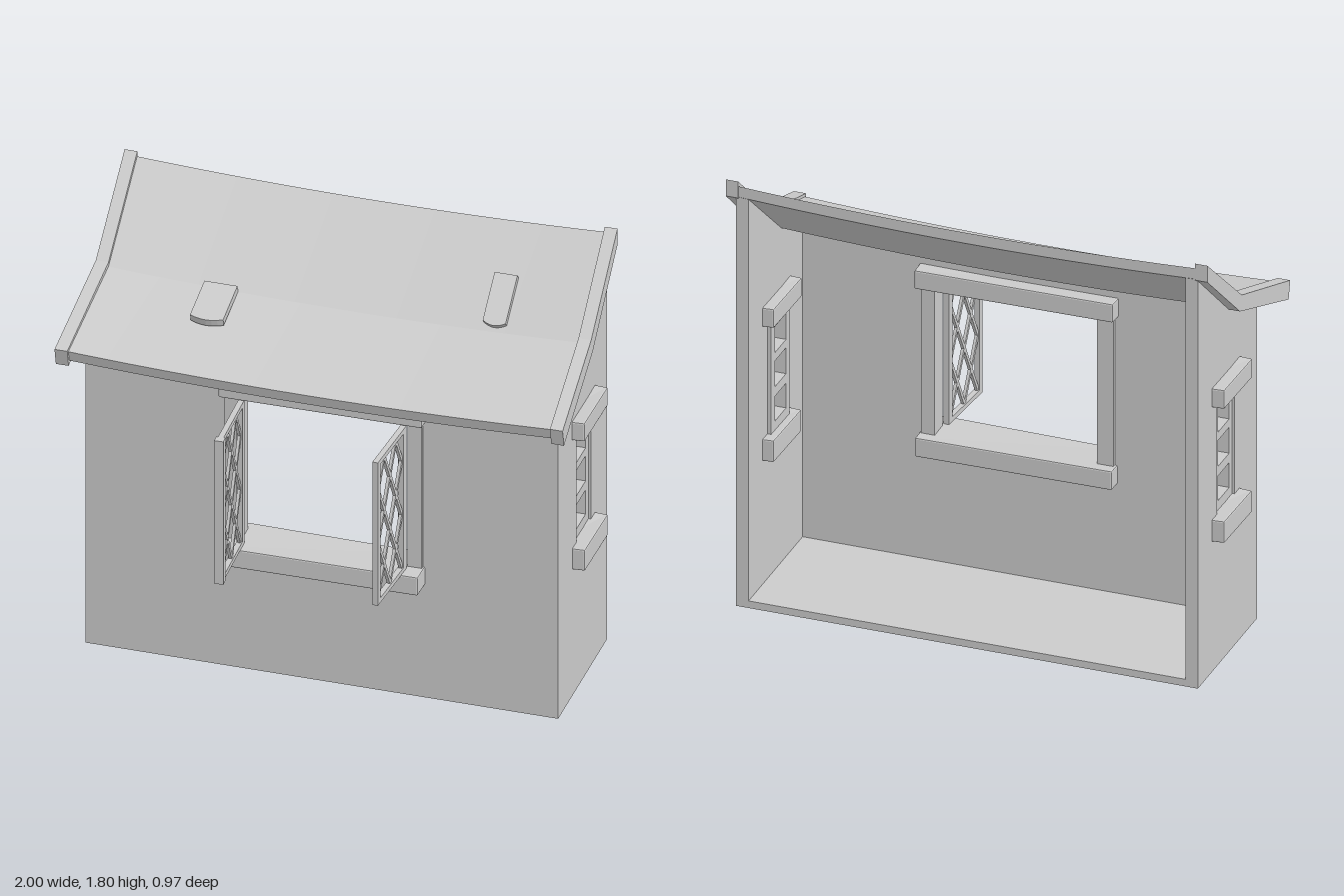
import * as THREE from 'three';
import { toCreasedNormals } from 'three/addons/utils/BufferGeometryUtils.js';
import { RoundedBoxGeometry } from 'three/addons/geometries/RoundedBoxGeometry.js';

const mat = new THREE.MeshStandardMaterial({ color: 0xcccccc });
const flat = new THREE.MeshStandardMaterial({ color: 0xcccccc, flatShading: true });

function add(parent, name, geo, material = flat) {
  const mesh = new THREE.Mesh(geo, material);
  mesh.name = name;
  parent.add(mesh);
  return mesh;
}

// Box given by its limits
function box(parent, name, x0, x1, y0, y1, z0, z1) {
  const mesh = add(parent, name, new THREE.BoxGeometry(x1 - x0, y1 - y0, z1 - z0));
  mesh.position.set((x0 + x1) / 2, (y0 + y1) / 2, (z0 + z1) / 2);
  return mesh;
}

// Slightly bevelled, hand-hewn block given by its limits
function block(parent, name, x0, x1, y0, y1, z0, z1, skew = 0.006) {
  const geo = new RoundedBoxGeometry(x1 - x0, y1 - y0, z1 - z0, 1, 0.006);
  const p = geo.attributes.position;
  for (let i = 0; i < p.count; i++) {
    p.setY(i, p.getY(i) + skew * Math.sign(p.getX(i)) * Math.sign(p.getZ(i)) * 0.5);
  }
  const mesh = add(parent, name, geo);
  mesh.position.set((x0 + x1) / 2, (y0 + y1) / 2, (z0 + z1) / 2);
  return mesh;
}

function shapeOf(points, holes = []) {
  const v = (list) => list.map(([x, y]) => new THREE.Vector2(x, y));
  const shape = new THREE.Shape(v(points));
  for (const h of holes) shape.holes.push(new THREE.Path(v(h)));
  return shape;
}
const rect = (a0, a1, b0, b1) => [[a0, b0], [a1, b0], [a1, b1], [a0, b1]];
const slab = (points, holes, depth) =>
  new THREE.ExtrudeGeometry(shapeOf(points, holes), { depth, bevelEnabled: false });

// Three points along the slope: value at back, kink and front for v = -1, 0, 1
const along = (v, [back, kink, front]) =>
  v < 0 ? THREE.MathUtils.lerp(kink, back, -v) : THREE.MathUtils.lerp(kink, front, v);

// Bends a 2 x 2 x 2 box into a strip that follows the roof slope
function slope(segX, rule) {
  const geo = new THREE.BoxGeometry(2, 2, 2, segX, 1, 2);
  const p = geo.attributes.position;
  for (let i = 0; i < p.count; i++) {
    p.setXYZ(i, ...rule(p.getX(i), p.getY(i) > 0, p.getZ(i)));
  }
  return toCreasedNormals(geo, 0.2);
}

// Side wall with its small three-pane window
function sideWindowWall(side) {
  const g = new THREE.Group();
  g.name = side > 0 ? 'leftSide' : 'rightSide';
  const wall = add(g, 'sideWall', slab(
    [[-0.48, 0], [0.13, 0], [0.13, 1.362], [-0.15, 1.455], [-0.48, 1.74]],
    [rect(-0.28, -0.10, 0.6, 1.16)], 0.05));
  const panes = [[0.68, 0.785], [0.825, 0.935], [0.97, 1.08]];
  const frame = add(g, 'sideWindowFrame', slab(
    rect(-0.285, -0.095, 0.62, 1.14),
    panes.map(([a, b]) => rect(-0.245, -0.13, a, b)), 0.055));
  for (const m of [wall, frame]) m.rotation.y = -Math.PI / 2;
  wall.position.x = side > 0 ? 0.93 : -0.88;
  frame.position.x = side * 0.8925 + 0.0275;
  const x0 = Math.min(side * 0.835, side * 0.98);
  block(g, 'sideLintel', x0, x0 + 0.145, 1.118, 1.198, -0.335, -0.042);
  block(g, 'sideSill', x0, x0 + 0.145, 0.55, 0.642, -0.335, -0.047);
  return g;
}

// Open window leaf with diamond lattice; local x runs away from the hinge
function windowLeaf(name, x, z, angle) {
  const g = new THREE.Group();
  g.name = name;
  const len = 0.295, y0 = 0.57, y1 = 1.195, a0 = 0.03, a1 = 0.27, b0 = 0.59, b1 = 1.175;
  const frame = add(g, 'leafFrame', slab(rect(0, len, y0, y1), [rect(a0, a1, b0, b1)], 0.022));
  frame.position.z = -0.011;
  const w = (a1 - a0) / 2, h = (b1 - b0) / 2.5;
  for (const c of [-1.5, -0.5, 0.5, 1.5]) {
    const s = Math.max(0, c), e = Math.min(2, 2.5 + c);
    for (const mirror of [1, -1]) {
      const dx = (e - s) * w * mirror, dy = -(e - s) * h;
      const mid = (s + e) / 2;
      const bar = add(g, 'latticeBar', new THREE.BoxGeometry(Math.hypot(dx, dy), 0.014, 0.012));
      bar.position.set((a0 + a1) / 2 + (mid - 1) * w * mirror, b1 - (mid - c) * h, 0);
      bar.rotation.z = Math.atan2(dy, dx);
    }
  }
  g.position.set(x, 0, z);
  g.rotation.y = angle;
  return g;
}

// Loose roof tile with a rounded lower end
function tile(name, width, length, x, y, z, pitch) {
  const s = new THREE.Shape();
  const hw = width / 2, hl = length / 2;
  s.moveTo(-hw, hl);
  s.lineTo(-hw, -hl + 0.015);
  s.quadraticCurveTo(0, -hl - 0.015, hw, -hl + 0.015);
  s.lineTo(hw, hl);
  const geo = new THREE.ExtrudeGeometry(s, { depth: 0.03, bevelEnabled: false, curveSegments: 6 });
  geo.translate(0, 0, -0.012);
  geo.rotateX(-Math.PI / 2 + pitch);
  const mesh = new THREE.Mesh(geo, flat);
  mesh.name = name;
  mesh.position.set(x, y, z);
  return mesh;
}

export function createModel() {
  const model = new THREE.Group();
  model.name = 'cottageFront';

  // Floor, front wall and side walls; the back stays open
  box(model, 'floor', -0.88, 0.88, 0, 0.03, -0.48, 0.08);
  const top = [];
  for (let i = 0; i <= 12; i++) {
    const u = 1 - i / 6;
    top.push([0.88 * u, 1.345 + 0.025 * u * u]);
  }
  const front = add(model, 'frontWall', slab(
    [[-0.88, 0], [0.88, 0], ...top], [rect(-0.375, 0.395, 0.53, 1.24)], 0.05));
  front.position.z = 0.08;
  for (const side of [1, -1]) model.add(sideWindowWall(side));

  // Front window surround
  block(model, 'frontLintel', -0.393, 0.408, 1.2, 1.278, 0.02, 0.18);
  block(model, 'frontSill', -0.388, 0.405, 0.49, 0.57, 0.02, 0.22);
  box(model, 'rightJamb', -0.378, -0.312, 0.56, 1.21, 0.065, 0.145);
  box(model, 'leftJamb', 0.342, 0.398, 0.56, 1.21, 0.065, 0.145);

  // Open window leaves
  model.add(windowLeaf('leftWindowLeaf', 0.332, 0.16, -Math.PI / 2 - 0.07));
  const rightLeaf = windowLeaf('rightWindowLeaf', -0.305, 0.165, -Math.PI / 2 + 0.03);
  const edge = box(rightLeaf, 'leafEdge', 0.287, 0.318, 0.57, 1.195, -0.018, 0.018);
  edge.name = 'leafEdge';
  model.add(rightLeaf);

  // Sagging roof
  add(model, 'roof', slope(14, (u, up, v) => [
    u * along(v, [0.945, 0.945, 0.975]),
    along(v, [1.78, 1.492, 1.358]) - 0.025 * (1 - u * u) - (up ? 0 : 0.045),
    along(v, [-0.483, -0.14, 0.285]) - (up || v < 0 ? 0 : 0.012 * v),
  ]), mat);

  // Verge boards flaring out toward the eaves
  for (const side of [1, -1]) {
    add(model, 'vergeBoard', slope(1, (u, up, v) => [
      side * along(v, [0.945, 0.95, 0.975]) + u * 0.025,
      along(v, up ? [1.8, 1.51, 1.365] : [1.73, 1.45, 1.292]),
      along(v, up ? [-0.485, -0.14, 0.297] : [-0.485, -0.16, 0.28]),
    ]), mat);
  }

  // Raised tiles
  model.add(tile('lowerTile', 0.13, 0.2, -0.48, 1.46, -0.04, 0.25));
  model.add(tile('upperTile', 0.09, 0.21, 0.59, 1.56, -0.23, 0.7));
  return model;
}
